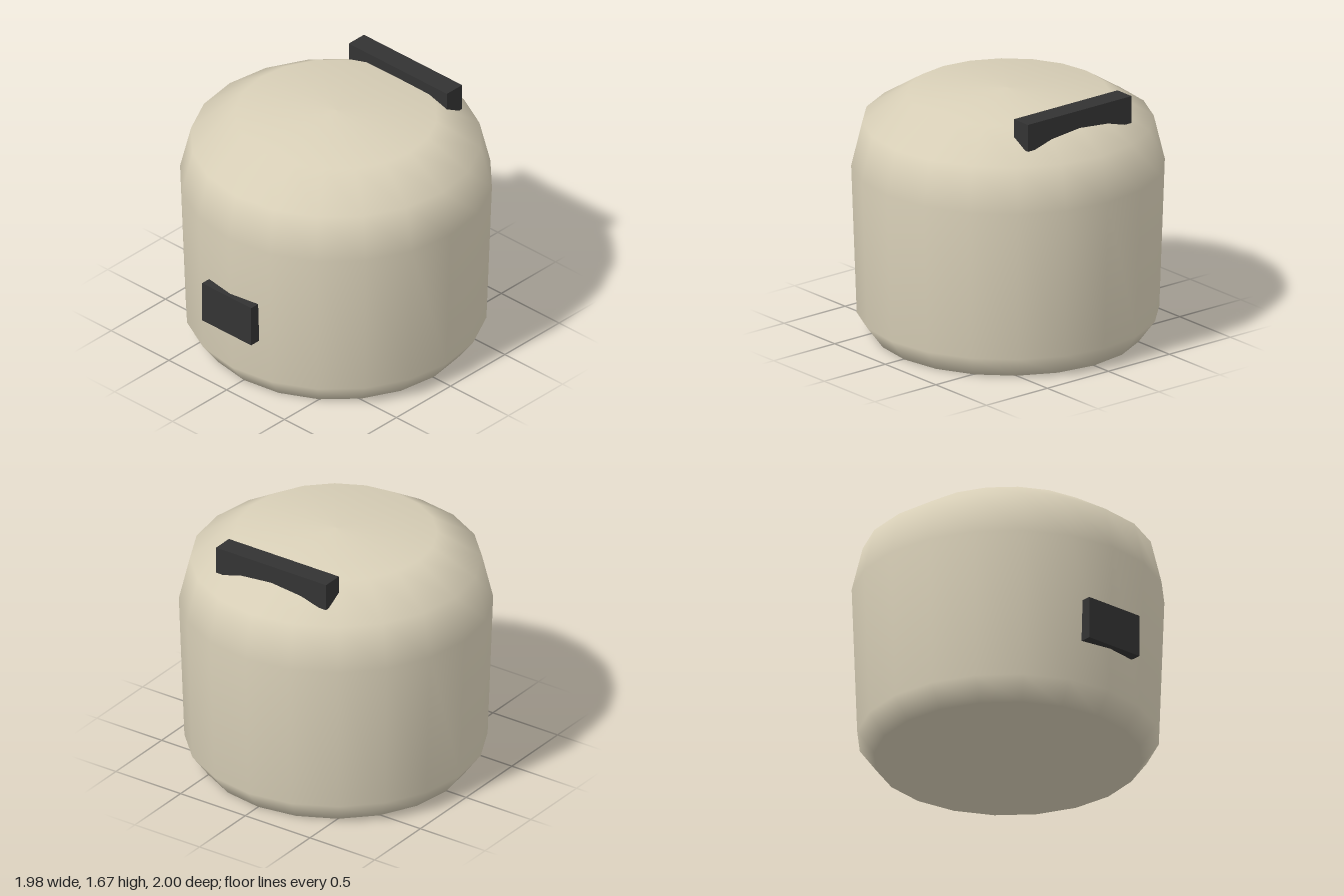
import * as THREE from 'three';

export function createModel() {
  const model = new THREE.Group();
  const cream = new THREE.MeshStandardMaterial({ color: 0xd9d0b8 });
  const dark = new THREE.MeshStandardMaterial({ color: 0x333333 });

  // Rounded pot body, closed at the bottom and slightly domed on top
  const profile = [
    [0, 0], [0.85, 0], [0.957, 0.145], [0.992, 1.13],
    [0.922, 1.42], [0.64, 1.597], [0, 1.63],
  ].map(([r, y]) => new THREE.Vector2(r, y));
  const body = new THREE.Mesh(new THREE.LatheGeometry(profile, 20), cream);
  body.name = 'body';
  body.position.z = -0.008;
  model.add(body);

  // Dark blocks partly sunk into the body
  const addBlock = (name, size, position) => {
    const block = new THREE.Mesh(new THREE.BoxGeometry(...size), dark);
    block.name = name;
    block.position.set(...position);
    model.add(block);
  };
  addBlock('lidHinge', [0.85, 0.18, 0.14], [0, 1.58, -0.648]);
  addBlock('controlPanel', [0.424, 0.28, 0.14], [0, 0.57, 0.93]);

  return model;
}
